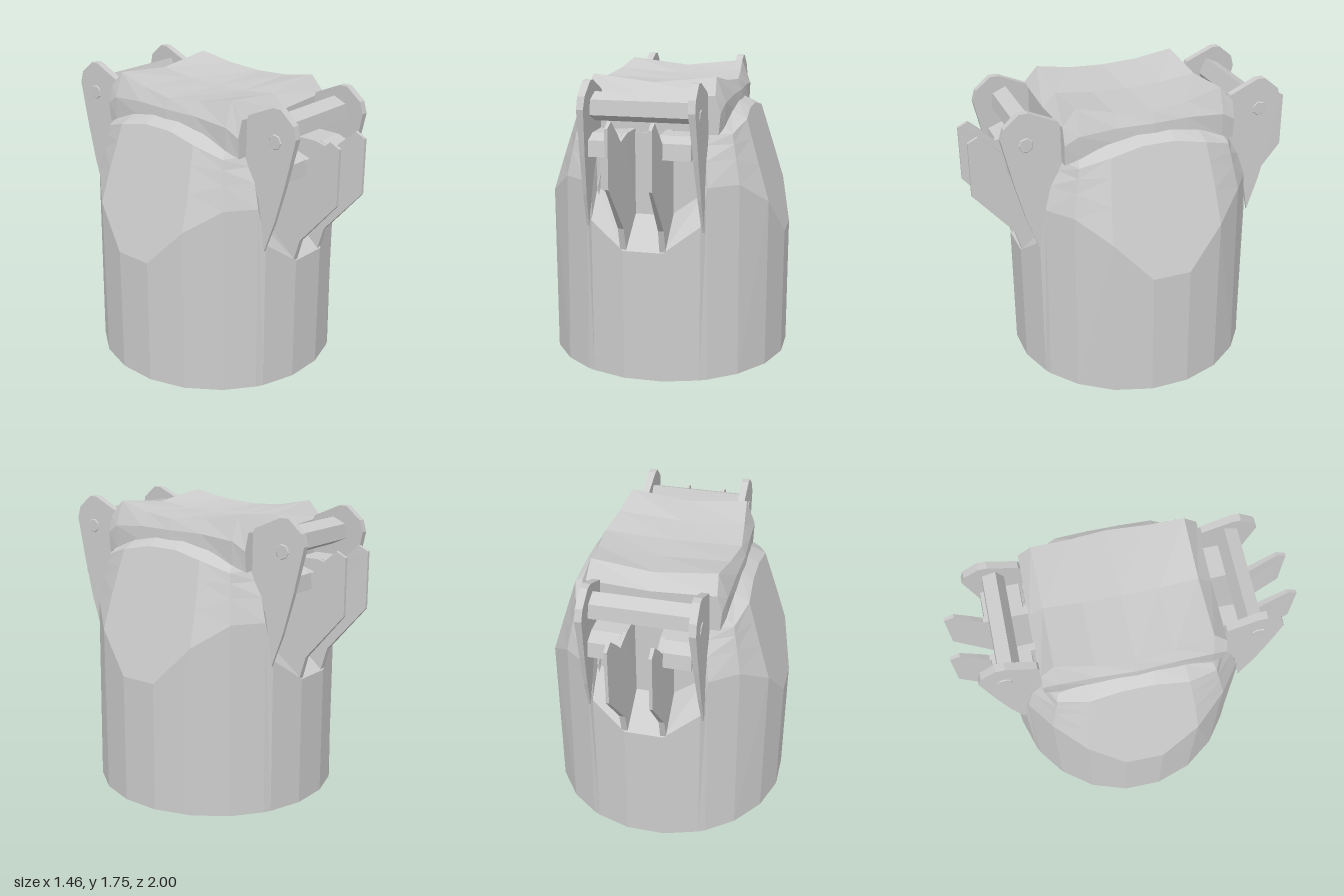
import * as THREE from 'three';

const { clamp, lerp } = THREE.MathUtils;
const material = new THREE.MeshStandardMaterial({ color: 0xcccccc, flatShading: true, side: THREE.DoubleSide });

function addMesh(parent, name, geometry) {
  const mesh = new THREE.Mesh(geometry, material);
  mesh.name = name;
  parent.add(mesh);
  return mesh;
}

// Joins a list of equally long closed loops of [x, y, z] into a faceted skin
function skin(loops) {
  const n = loops[0].length;
  const index = [];
  for (let i = 0; i < loops.length - 1; i++) {
    for (let j = 0; j < n; j++) {
      const a = i * n + j, b = i * n + (j + 1) % n, c = a + n, d = b + n;
      // Diagonals are mirrored about the middle of the loop
      if (j < n / 4 || (j >= n / 2 && j < n * 0.75)) index.push(a, c, b, b, c, d);
      else index.push(a, c, d, a, d, b);
    }
  }
  const indexed = new THREE.BufferGeometry();
  indexed.setAttribute('position', new THREE.Float32BufferAttribute(loops.flat(2), 3));
  indexed.setIndex(index);
  const geometry = indexed.toNonIndexed();
  geometry.computeVertexNormals();
  return geometry;
}

// One upright line of the body: up the cylinder, then along the slanted cuts
function bodyColumn(t, inset) {
  const radius = 0.737;
  const cx = radius * Math.cos(t), cz = radius * Math.sin(t);
  const ax = Math.abs(cx), az = Math.abs(cz);
  const isSlot = ax < 0.34;
  const isSide = ax > 0.5;
  const foot = isSlot ? lerp(0.78, 0.93, (ax - 0.115) / 0.205)
    : Math.min(1.15, 0.76 + (0.735 - ax) / 0.305, 0.78 + (0.735 - az) / 0.2);
  const shoulder = isSide ? 1.53 - 0.1 * (az / 0.52) ** 2 : 1.43;
  const middle = isSlot ? foot + 0.17 : lerp(foot, 1.43, 0.5);
  const at = (y) => {
    const shrink = 1 - Math.max(0, y - 1.1) * 0.36;
    const xCut = 0.735 - Math.max(0, y - 0.76) * 0.305;
    const slope = 0.735 - Math.max(0, y - 0.78) * 0.2;
    const zCut = lerp(slope, 0.52, clamp((y - 1.2) / 0.23, 0, 1));
    const zLimit = isSlot && y > foot ? 0.53 : zCut;
    const x = clamp(cx * shrink, -xCut, xCut), z = clamp(cz * shrink, -zLimit, zLimit);
    return [x - Math.cos(t) * inset, y - (y > 0 ? inset * 0.5 : 0), z - Math.sin(t) * inset];
  };
  return [0, foot, middle, lerp(middle, shoulder, 0.6), shoulder].map(at);
}

// Hollow body: the inside runs down to the rim, the outside back up
function bodyGeometry() {
  const rows = 5;
  // Angles of one quarter, the last three framing the front slot
  const quarter = [9, 27, 45, 60.8, 64.3, 81];
  const mirrored = [...quarter].reverse().map((a) => 180 - a);
  const angles = [...quarter, ...mirrored];
  const around = [...angles, ...angles.map((a) => a + 180)].map(THREE.MathUtils.degToRad);
  const shell = (inset) => {
    const columns = around.map((t) => bodyColumn(t, inset));
    return Array.from({ length: rows }, (_, i) => columns.map((c) => c[i]));
  };
  const outside = shell(0);
  const inside = shell(0.09).reverse();
  // Arched shoulder that meets the saddle, then a closed top
  const arch = outside[rows - 1].map(([x, , z]) =>
    [clamp(x, -0.42, 0.42), 1.58 - 0.15 * (z / 0.52) ** 2, z * 0.97]);
  const point = (y) => arch.map(([x, , z]) => [x * 0.01, y, z * 0.01]);
  return skin([point(1.48), ...inside, ...outside, arch, point(1.56)]);
}

// Saddle-shaped block, lofted from back to front
function saddleGeometry() {
  // z, lower x, lower y, middle x, middle y, top x, edge top y, centre top y
  const half = [
    [0.52, 0.39, 1.43, 0.40, 1.55, 0.37, 1.65, 1.63],
    [0.44, 0.41, 1.46, 0.415, 1.60, 0.36, 1.745, 1.705],
    [0.22, 0.43, 1.53, 0.425, 1.62, 0.385, 1.70, 1.68],
    [0, 0.44, 1.55, 0.435, 1.62, 0.41, 1.68, 1.67],
  ];
  const stations = [
    ...half.map(([z, ...rest]) => [-z, ...rest]),
    ...half.slice(0, 3).reverse(),
  ];
  const loops = stations.map(([z, lx, ly, mx, my, tx, ty, cy]) => [
    [tx, ty, z], [mx, my, z], [lx, ly, z], [0, ly, z],
    [-lx, ly, z], [-mx, my, z], [-tx, ty, z], [0, cy, z],
  ]);
  const cap = (z) => loops[0].map(([x, y]) => [x * 0.01, 1.55 + (y - 1.55) * 0.01, z]);
  return skin([cap(-0.52), ...loops, cap(0.52)]);
}

// Plate with a [z, y] outline, centred on the given x
function plate(points, thickness, x) {
  const shape = new THREE.Shape(points.map(([z, y]) => new THREE.Vector2(z, y)));
  const geometry = new THREE.ExtrudeGeometry(shape, { depth: thickness, bevelEnabled: false });
  return geometry.rotateY(-Math.PI / 2).translate(x + thickness / 2, 0, 0);
}

// Plate whose corners move outwards by shift(isInner, y, z)
function shapedPlate(points, thickness, x, shift) {
  const geometry = plate(points, thickness, x);
  const p = geometry.attributes.position;
  for (let i = 0; i < p.count; i++) {
    const isInner = Math.abs(p.getX(i)) < Math.abs(x);
    p.setX(i, p.getX(i) + Math.sign(x) * shift(isInner, p.getY(i), p.getZ(i)));
  }
  geometry.computeVertexNormals();
  return geometry;
}

// One set of ears, fins, brackets and a crossbar on the front
function latch() {
  const group = new THREE.Group();
  const ear = [
    [0.67, 0.9], [0.74, 1.1], [0.8, 1.33], [0.86, 1.6], [0.84, 1.67], [0.75, 1.745],
    [0.70, 1.745], [0.53, 1.67], [0.51, 1.62], [0.51, 1.43], [0.62, 1.2],
  ];
  const fin = [
    [0.53, 0.9], [0.72, 0.78], [0.76, 0.92], [1, 1.2], [1, 1.53], [0.94, 1.56],
    [0.85, 1.48], [0.79, 1.42], [0.68, 1.45], [0.51, 1.45],
  ];
  const bracket = [[0.55, 1.33], [0.79, 1.33], [0.78, 1.42], [0.7, 1.45], [0.55, 1.45]];
  for (const [side, label] of [[1, 'left'], [-1, 'right']]) {
    // Ears lean outwards and thin down towards the foot
    addMesh(group, label + 'Ear', shapedPlate(ear, 0.045, side * 0.303,
      (isInner, y) => (1.745 - y) / 0.845 * (isInner ? 0.05 : 0.018)));

    // Fins thicken towards the body
    addMesh(group, label + 'Fin', shapedPlate(fin, 0.018, side * 0.12,
      (isInner, y, z) => (isInner ? -1 : 0.3) * 0.02 * clamp((1 - z) / 0.4, 0, 1)));

    // Bracket tying the fin to the ear
    addMesh(group, label + 'Bracket', plate(bracket, 0.17, side * 0.205));

    // Shallow pivot disc on the outer face of the ear
    const pin = addMesh(group, label + 'Pin', new THREE.CylinderGeometry(0.04, 0.06, 0.02, 7));
    pin.rotation.z = -side * Math.PI / 2;
    pin.position.set(side * 0.324, 1.56, 0.72);
  }
  // Crossbar, thicker at its front lower edge
  const bar = [[0.62, 1.58], [0.65, 1.51], [0.75, 1.555], [0.74, 1.64], [0.66, 1.675]];
  addMesh(group, 'crossbar', plate(bar, 0.58, 0));
  return group;
}

export function createModel() {
  const model = new THREE.Group();
  model.name = 'latchedCap';
  addMesh(model, 'body', bodyGeometry());
  addMesh(model, 'saddleTop', saddleGeometry());
  ['frontLatch', 'backLatch'].forEach((name, i) => {
    const group = latch();
    group.name = name;
    group.rotation.y = i * Math.PI;
    model.add(group);
  });
  return model;
}
